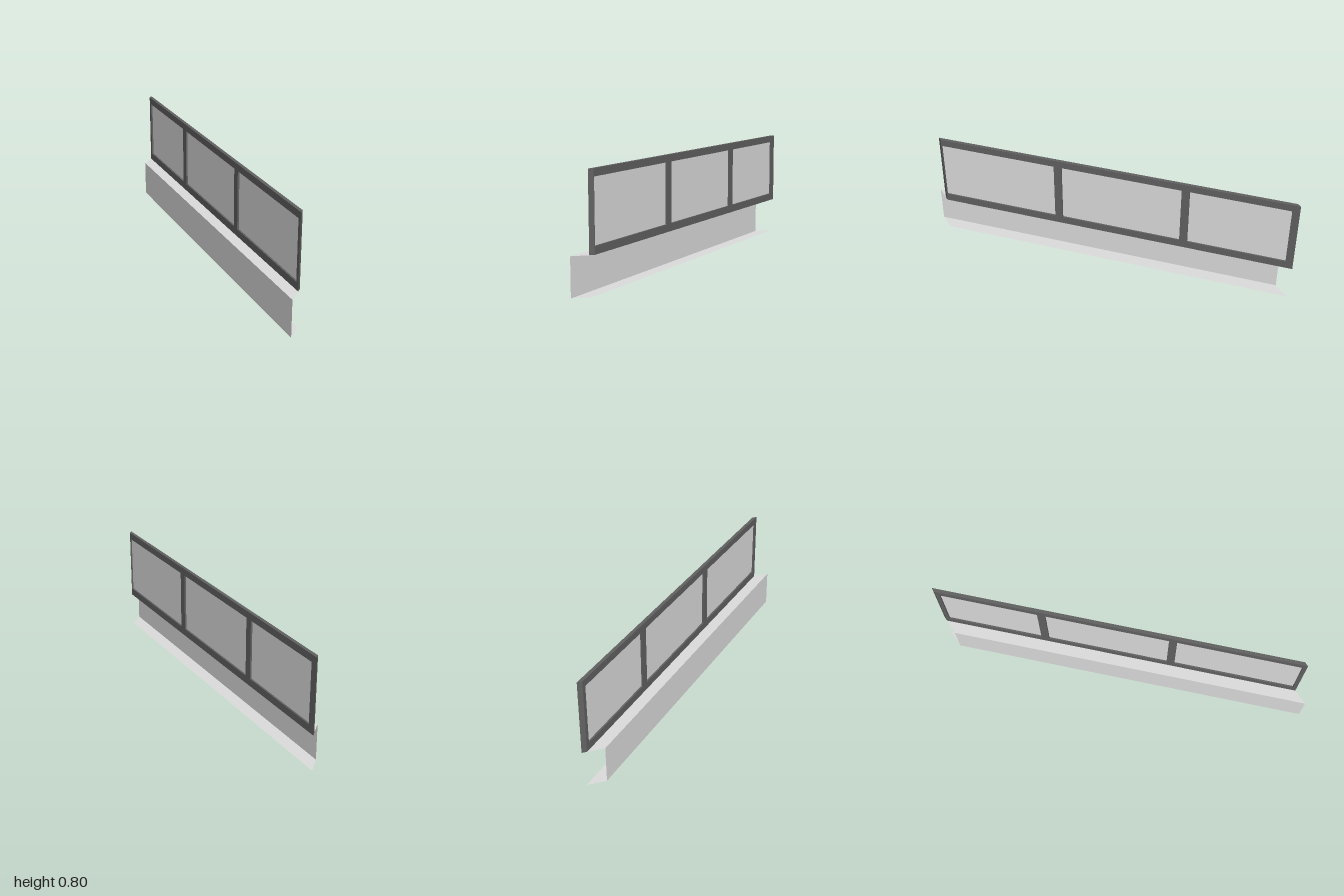
import * as THREE from 'three';

const HALF = 0.925;      // half length along x
const SILL = 0.264;      // height of the boxed sill
const TOP = 0.797;
const FRONT = -0.045, DEPTH = 0.035, MID = FRONT - DEPTH / 2;
const LIP = 0.0725;      // front of the sill

// The wall runs diagonally: every part is drawn facing +z, then z follows x.
function diagonal(geometry) {
  const g = geometry.index ? geometry.toNonIndexed() : geometry;
  g.applyMatrix4(new THREE.Matrix4().set(1, 0, 0, 0, 0, 1, 0, 0, 1, 0, 1, 0, 0, 0, 0, 1));
  g.computeVertexNormals();
  return g;
}

export function createModel() {
  const model = new THREE.Group();
  model.name = 'diagonalWindow';
  const frameMat = new THREE.MeshStandardMaterial({ name: 'darkGreyFrame', color: 0x626262 });
  const paleMat = new THREE.MeshStandardMaterial({ name: 'paleGrey', color: 0xdedede, side: THREE.DoubleSide });

  const add = (name, geometry, material) => {
    const mesh = new THREE.Mesh(diagonal(geometry), material);
    mesh.name = name;
    model.add(mesh);
  };

  // Frame with three openings
  const openings = [[-0.905, -0.41], [-0.37, 0.25], [0.29, 0.905]];
  const y0 = 0.318, y1 = 0.747;
  const rect = (T, a, b, c, d) => new T([[a, c], [b, c], [b, d], [a, d]].map(p => new THREE.Vector2(...p)));
  const shape = rect(THREE.Shape, -HALF, HALF, SILL, TOP);
  shape.holes = openings.map(([a, b]) => rect(THREE.Path, a, b, y0, y1));
  const frame = new THREE.ExtrudeGeometry(shape, { depth: DEPTH, bevelEnabled: false });
  frame.translate(0, 0, FRONT - DEPTH);

  // Jambs stand square to the diagonal wall, while the outer ends are cut along z
  const p = frame.attributes.position;
  for (let i = 0; i < p.count; i++) {
    if (Math.abs(p.getX(i)) < HALF - 0.005 && p.getZ(i) < MID) p.setX(i, p.getX(i) + DEPTH / 2);
  }
  add('windowFrame', frame, frameMat);

  // Glass in the middle of the frame depth
  openings.forEach(([a, b], i) => {
    const pane = new THREE.PlaneGeometry(b - a, y1 - y0);
    pane.translate((a + b) / 2 + DEPTH / 4, (y0 + y1) / 2, MID);
    add('glassPane' + (i + 1), pane, paleMat);
  });

  // Sill: a channel open at the back and ends
  const face = new THREE.PlaneGeometry(2 * HALF, SILL);
  face.translate(0, SILL / 2, LIP);
  add('sillFront', face, paleMat);
  for (const [name, y] of [['sillTop', SILL], ['sillBottom', 0]]) {
    const plate = new THREE.PlaneGeometry(2 * HALF, LIP - MID);
    plate.rotateX(-Math.PI / 2);
    plate.translate(0, y, (LIP + MID) / 2);
    add(name, plate, paleMat);
  }
  return model;
}
